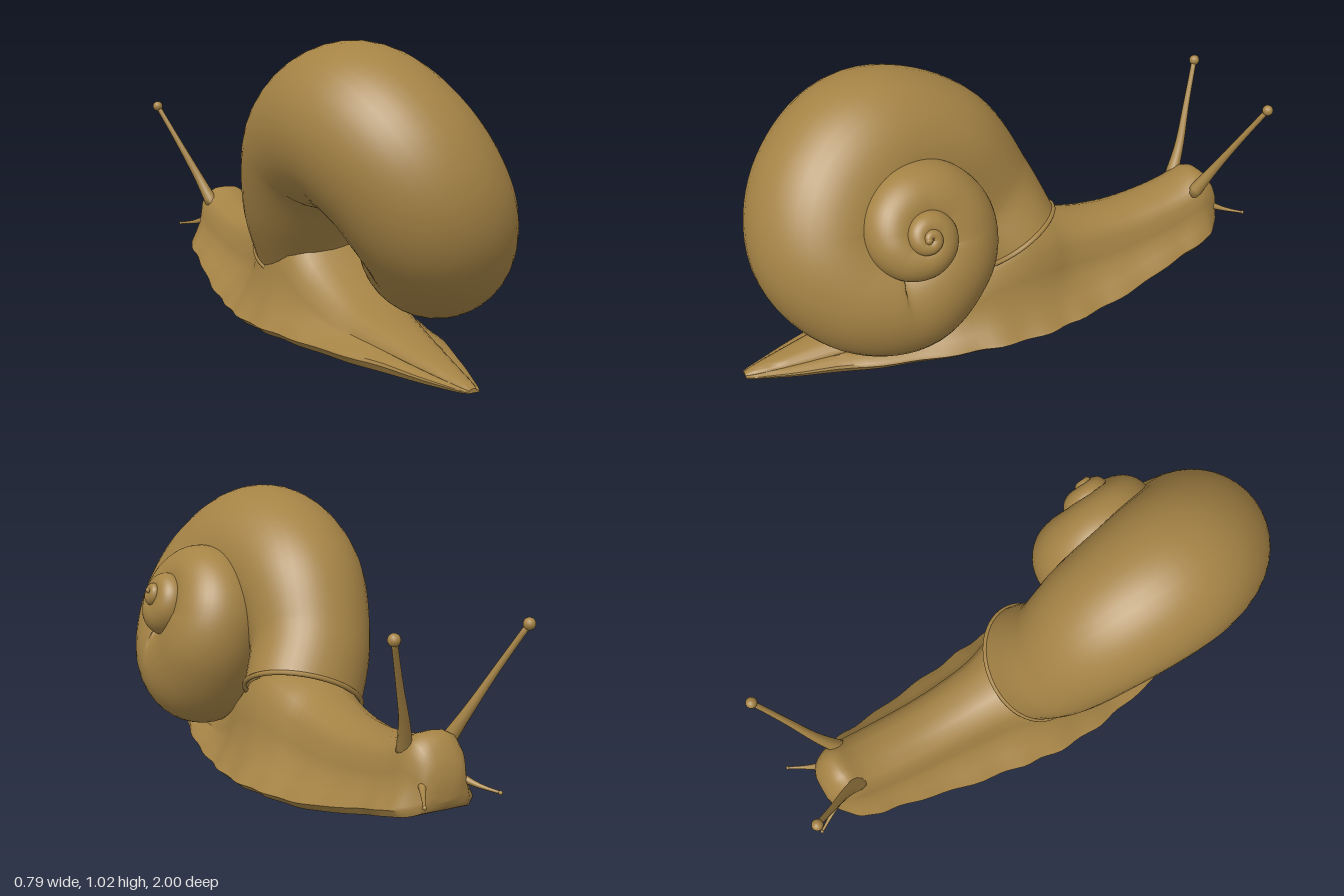
import * as THREE from 'three';
import { toCreasedNormals } from 'three/addons/utils/BufferGeometryUtils.js';

const V = (x, y, z) => new THREE.Vector3(x, y, z);
const ochre = new THREE.MeshStandardMaterial({ color: 0xa58345, side: THREE.DoubleSide });
ochre.name = 'ochre';

const spline = (points) => new THREE.CatmullRomCurve3(points, false, 'catmullrom', 0.5);

// Joins closed rings of points into a skin; optional fans close the two ends.
function loft(rings, capped) {
  const n = rings[0].length;
  const pos = [], index = [];
  rings.forEach((ring) => ring.forEach((p) => pos.push(p.x, p.y, p.z)));
  for (let i = 0; i < rings.length - 1; i++) {
    for (let j = 0; j < n; j++) {
      const a = i * n + j, b = i * n + (j + 1) % n;
      index.push(a, a + n, b, b, a + n, b + n);
    }
  }
  if (capped) {
    const last = (rings.length - 1) * n;
    for (let j = 1; j < n - 1; j++) {
      index.push(0, j, j + 1);
      index.push(last, last + j + 1, last + j);
    }
  }
  const geo = new THREE.BufferGeometry();
  geo.setAttribute('position', new THREE.Float32BufferAttribute(pos, 3));
  geo.setIndex(index);
  geo.computeVertexNormals();
  return geo;
}

function add(group, geo, name) {
  const mesh = new THREE.Mesh(geo, ochre);
  mesh.name = name;
  group.add(mesh);
  return mesh;
}

// Foot, neck and head: sections from tail to snout.
function makeBody(group) {
  // z, foot half width, back half width, underside y, top y
  const keys = [
    [1.0, 0.022, 0.012, 0.005, 0.018],
    [0.95, 0.046, 0.028, 0.002, 0.03],
    [0.8, 0.1, 0.06, 0, 0.06],
    [0.6, 0.17, 0.1, 0, 0.103],
    [0.42, 0.22, 0.14, 0, 0.15],
    [0.25, 0.255, 0.175, 0, 0.25],
    [0.13, 0.275, 0.195, 0, 0.36],
    [0, 0.285, 0.2, 0, 0.41],
    [-0.12, 0.28, 0.18, 0.005, 0.385],
    [-0.22, 0.265, 0.15, 0.01, 0.345],
    [-0.35, 0.245, 0.135, 0.02, 0.315],
    [-0.5, 0.22, 0.125, 0.045, 0.305],
    [-0.65, 0.19, 0.12, 0.08, 0.32],
    [-0.75, 0.175, 0.115, 0.105, 0.345],
    [-0.82, 0.16, 0.11, 0.12, 0.375],
    [-0.87, 0.125, 0.095, 0.13, 0.355],
    [-0.905, 0.085, 0.075, 0.15, 0.3],
    [-0.92, 0.045, 0.045, 0.18, 0.25],
  ];
  const widths = spline(keys.map((k) => V(k[0], k[1], k[2])));
  const heights = spline(keys.map((k) => V(k[3], k[4], 0)));
  const rings = [];
  const steps = 68;
  for (let i = 0; i <= steps; i++) {
    const a = widths.getPoint(i / steps), h = heights.getPoint(i / steps);
    const z = a.x, wn = a.z, b = h.x, tall = h.y - h.x;
    const w = a.y * (1 + 0.018 * Math.sin(i * 1.1)); // wavy hem
    const e = Math.min(0.034, tall * 0.4);
    const half = [
      [w * 0.9, b], [w, b + e * 0.7], [w * 0.97, b + e],
      [w * 0.55 + wn * 0.45, b + e + (tall - e) * 0.14],
      [w * 0.15 + wn * 0.85, b + e + (tall - e) * 0.32],
      [wn, b + tall * 0.55], [wn * 0.93, b + tall * 0.76],
      [wn * 0.72, b + tall * 0.91], [wn * 0.38, b + tall * 0.985],
    ];
    const ring = [V(-0.02, b, z)];
    half.forEach(([x, y]) => ring.push(V(x - 0.02, y, z)));
    ring.push(V(-0.02, h.y, z));
    half.slice().reverse().forEach(([x, y]) => ring.push(V(-x - 0.02, y, z)));
    rings.push(ring);
  }
  add(group, toCreasedNormals(loft(rings, true), 0.8), 'body');
}

// Coiled shell: a logarithmic spire running into a shaped last whorl.
function makeShell(group) {
  const tilt = 0.41;
  const axis = V(Math.cos(tilt), Math.sin(tilt), 0);
  const up = V(-Math.sin(tilt), Math.cos(tilt), 0);
  const apex = V(0.395, 0.655, 0.435);
  const centres = [], radii = [];
  for (let k = -28; k <= -7; k++) {
    const angle = k * Math.PI / 4;
    const rho = 0.23 * Math.pow(2.75, (k + 4) / 8);
    centres.push(apex.clone()
      .addScaledVector(axis, -1.73 * rho)
      .addScaledVector(up, -rho * Math.sin(angle))
      .add(V(0, 0, -rho * Math.cos(angle))));
    radii.push(V(rho * 1.174, rho * 1.174, 0));
  }
  // centre x, y, z, then radius outward and along the axis
  [
    [0.16, 0.347, 0.445, 0.234, 0.228],
    [0.115, 0.38, 0.59, 0.253, 0.248],
    [0.03, 0.5, 0.67, 0.27, 0.27],
    [-0.05, 0.645, 0.61, 0.285, 0.278],
    [-0.112, 0.735, 0.45, 0.285, 0.277],
    [-0.125, 0.67, 0.22, 0.25, 0.255],
    [-0.095, 0.47, 0.065, 0.218, 0.225],
    [-0.018, 0.303, -0.025, 0.195, 0.222],
  ].forEach(([x, y, z, ru, rv]) => {
    centres.push(V(x, y, z));
    radii.push(V(ru, rv, 0));
  });
  const path = spline(centres), size = spline(radii);
  const rings = [];
  const steps = 260, sides = 40;
  for (let i = 0; i <= steps; i++) {
    const t = i / steps;
    const c = path.getPoint(t), r = size.getPoint(t), dir = path.getTangent(t);
    const v = axis.clone().addScaledVector(dir, -axis.dot(dir)).normalize();
    const u = v.clone().cross(dir);
    const ring = [];
    for (let j = 0; j < sides; j++) {
      const q = j / sides * Math.PI * 2;
      ring.push(c.clone()
        .addScaledVector(u, r.x * Math.cos(q))
        .addScaledVector(v, r.y * Math.sin(q)));
    }
    rings.push(ring);
  }
  add(group, loft(rings, false), 'shell');

  // Rounded point of the spire
  const tip = add(group, new THREE.SphereGeometry(radii[0].x * 1.02, 16, 12), 'shellTip');
  tip.position.copy(centres[0]);

  // Rolled rim around the opening
  const rim = new THREE.CatmullRomCurve3(rings[steps], true);
  add(group, new THREE.TubeGeometry(rim, 64, 0.009, 8, true), 'shellLip');
}

// Tapered stalk with a round tip, following a bent path.
function makeStalk(group, points, r0, r1, knob, name) {
  const stalk = new THREE.Group();
  stalk.name = name;
  const curve = new THREE.CatmullRomCurve3(points);
  const rings = [];
  for (let i = 0; i <= 14; i++) {
    const t = i / 14, c = curve.getPoint(t), dir = curve.getTangent(t);
    const u = V(0, 1, 0).cross(dir).normalize(), v = dir.clone().cross(u);
    const r = r1 + (r0 - r1) * Math.pow(1 - t, 2);
    rings.push(Array.from({ length: 10 }, (_, j) => {
      const q = j / 10 * Math.PI * 2;
      return c.clone().addScaledVector(u, r * Math.cos(q)).addScaledVector(v, r * Math.sin(q));
    }));
  }
  add(stalk, loft(rings, true), 'stalk');
  const tip = add(stalk, new THREE.SphereGeometry(knob, 14, 10), 'tip');
  tip.position.copy(points[points.length - 1]);
  group.add(stalk);
}

export function createModel() {
  const model = new THREE.Group();
  model.name = 'snail';
  makeBody(model);
  makeShell(model);
  for (const s of [1, -1]) {
    const side = s > 0 ? 'left' : 'right';
    const at = (x, y, z) => V(s * x - 0.02, y, z);
    makeStalk(model, [at(0.075, 0.31, -0.79), at(0.115, 0.42, -0.845), at(0.175, 0.56, -0.905), at(0.24, 0.708, -0.972)],
      0.028, 0.01, 0.02, side + 'EyeStalk');
    makeStalk(model, [at(0.06, 0.24, -0.86), at(0.1, 0.215, -0.93), at(0.138, 0.203, -0.993)],
      0.018, 0.005, 0.007, side + 'Feeler');
  }
  return model;
}
